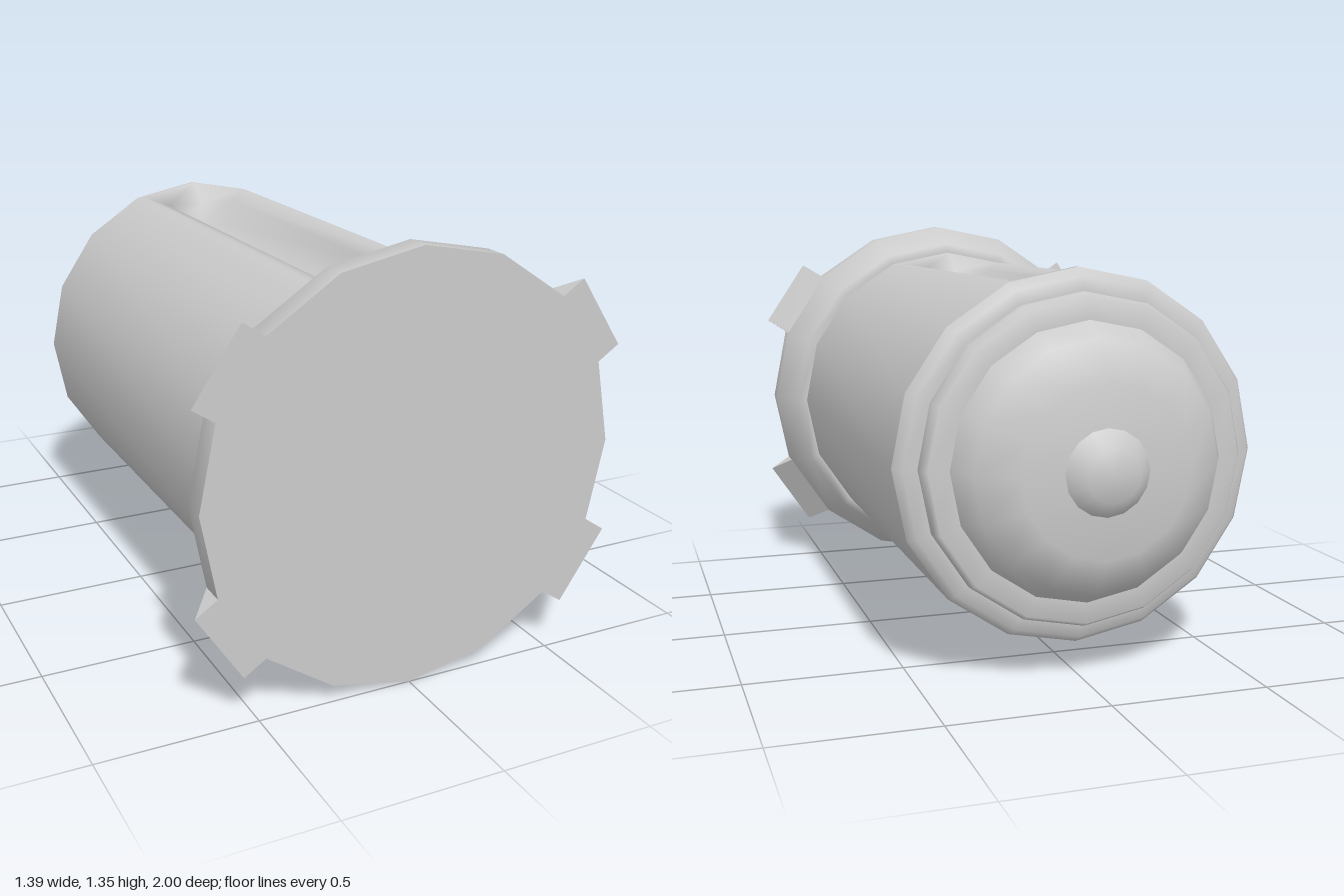
import * as THREE from 'three';

const SIDES = 16;
const BODY_R = 0.575;
const FRONT = 0.8;   // z where the body meets the flange
const BACK = -0.7;   // z where the body meets the rear cap
const STEP = Math.PI / 8;

const material = new THREE.MeshStandardMaterial({ color: 0xcccccc });

function addMesh(group, name, geometry) {
  const mesh = new THREE.Mesh(geometry, material);
  mesh.name = name;
  group.add(mesh);
  return mesh;
}

// Turned part along z, from [radius, z] pairs with z rising
function turned(profile) {
  const points = profile.map(([r, z]) => new THREE.Vector2(r, z));
  return new THREE.LatheGeometry(points, SIDES).rotateX(Math.PI / 2);
}

// Half of the body wall, leaving the top and bottom two facets open
function sideWall(start) {
  const geometry = new THREE.CylinderGeometry(
    BODY_R, BODY_R, FRONT - BACK, 6, 1, true, start, Math.PI * 0.75);
  return geometry.rotateX(Math.PI / 2).translate(0, 0, (FRONT + BACK) / 2);
}

// Two facets with a bevelled, sunken slot, built from nested six-point loops
function slotPanel() {
  const edgeX = BODY_R * Math.sin(STEP);
  const edgeY = BODY_R * Math.cos(STEP);
  // half width, height at the sides, height at the middle, front z, back z
  const loops = [
    [edgeX, edgeY, BODY_R, FRONT, BACK],
    [0.2, 0.535, BODY_R, 0.745, -0.675],
    [0.13, 0.51, 0.51, 0.66, -0.605],
    [0.11, 0.42, 0.42, 0.645, -0.59],
  ];
  const positions = [];
  for (const [x, ySide, yMid, zf, zb] of loops) {
    positions.push(-x, ySide, zf, 0, yMid, zf, x, ySide, zf);
    positions.push(x, ySide, zb, 0, yMid, zb, -x, ySide, zb);
  }
  const index = [];
  const quad = (a, b, c, d) => index.push(a, b, c, a, c, d);
  for (let k = 0; k < loops.length - 1; k++) {
    for (let i = 0; i < 6; i++) {
      const j = (i + 1) % 6;
      quad(k * 6 + i, k * 6 + j, k * 6 + 6 + j, k * 6 + 6 + i);
    }
  }
  const last = (loops.length - 1) * 6;
  quad(last, last + 1, last + 4, last + 5);
  quad(last + 1, last + 2, last + 3, last + 4);
  const geometry = new THREE.BufferGeometry();
  geometry.setAttribute('position', new THREE.Float32BufferAttribute(positions, 3));
  geometry.setIndex(index);
  geometry.computeVertexNormals();
  return geometry;
}

// Wedge-shaped tab covering one facet of the flange rim
function rimTab(angle) {
  const radius = 0.675;
  const width = 2 * radius * Math.sin(STEP / 2);
  const shape = new THREE.Shape([
    new THREE.Vector2(0, 0), new THREE.Vector2(0.083, 0.08), new THREE.Vector2(0, 0.08),
  ]);
  return new THREE.ExtrudeGeometry(shape, { depth: width, bevelEnabled: false })
    .translate(0, 0, -width / 2)
    .rotateX(Math.PI / 2)
    .translate(radius * Math.cos(STEP / 2), 0, 0.92)
    .rotateZ(angle);
}

export function createModel() {
  const group = new THREE.Group();
  group.name = 'canister';
  const parts = new THREE.Group();
  parts.name = 'canisterParts';
  parts.position.y = 0.675;
  group.add(parts);

  // Front flange with its closing disc
  addMesh(parts, 'frontFlange', turned([[BODY_R, 0.8], [0.61, 0.8], [0.675, 0.92], [0.675, 1]]));
  addMesh(parts, 'frontDisc', turned([[0.675, 1], [0, 1]]));

  // Four tabs on the diagonals
  for (const side of [1, -1]) {
    for (const base of [STEP * 1.5, Math.PI - STEP * 1.5]) {
      addMesh(parts, 'rimTab', rimTab(side * base));
    }
  }

  // Body walls and the slotted panels above and below
  addMesh(parts, 'leftWall', sideWall(STEP));
  addMesh(parts, 'rightWall', sideWall(Math.PI + STEP));
  addMesh(parts, 'topSlot', slotPanel());
  addMesh(parts, 'bottomSlot', slotPanel().rotateZ(Math.PI));

  // Stepped rear: shoulder, ring, dome and knob
  addMesh(parts, 'rearShoulder', turned([[0.5, -0.735], [0.55, -0.735], [BODY_R, BACK]]));
  addMesh(parts, 'rearRing', turned([[0.42, -0.795], [0.49, -0.795], [0.505, -0.77], [0.505, -0.735]]));
  addMesh(parts, 'rearDome', turned([[0, -0.95], [0.26, -0.95], [0.38, -0.88], [0.425, -0.795]]));
  addMesh(parts, 'rearKnob', turned([[0, -1], [0.08, -1], [0.13, -0.95]]));

  return group;
}
